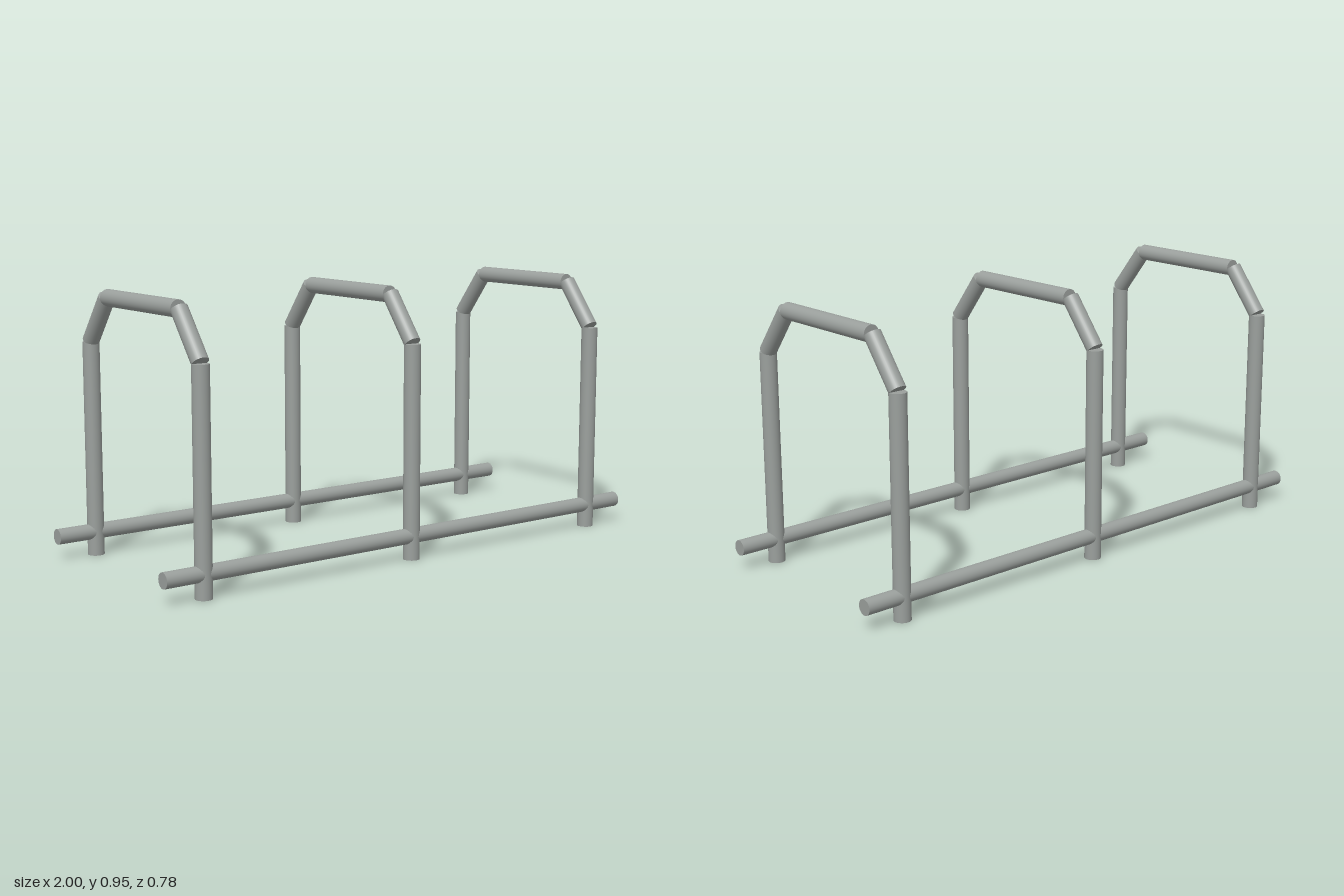
import * as THREE from 'three';

const material = new THREE.MeshStandardMaterial({ color: 0x9a9f9c });
const UP = new THREE.Vector3(0, 1, 0);

// Straight capped tube between two points
function tube(name, from, to, radius) {
  const a = new THREE.Vector3(...from);
  const b = new THREE.Vector3(...to);
  const dir = b.clone().sub(a);
  const mesh = new THREE.Mesh(new THREE.CylinderGeometry(radius, radius, dir.length(), 32), material);
  mesh.name = name;
  mesh.position.copy(a).add(b).multiplyScalar(0.5);
  mesh.quaternion.setFromUnitVectors(UP, dir.normalize());
  return mesh;
}

// Hoop: two legs, two sloping corners and a top bar
function createHoop(x) {
  const r = 0.0295;
  const hoop = new THREE.Group();
  hoop.name = 'hoop';
  for (const s of [1, -1]) {
    const side = s > 0 ? 'front' : 'back';
    hoop.add(tube(side + 'Leg', [0, 0, s * 0.361], [0, 0.757, s * 0.361], r));
    hoop.add(tube(side + 'Corner', [0, 0.761, s * 0.36], [0, 0.92, s * 0.237], r));
  }
  hoop.add(tube('topBar', [0, 0.919, -0.232], [0, 0.919, 0.232], r));
  hoop.position.x = x;
  return hoop;
}

export function createModel() {
  const model = new THREE.Group();
  model.name = 'bikeRack';
  for (const x of [-0.85, 0, 0.85]) model.add(createHoop(x));

  // Long rails joining the hoops near the ground
  for (const s of [1, -1]) {
    model.add(tube(s > 0 ? 'frontRail' : 'backRail', [-1, 0.083, s * 0.361], [1, 0.083, s * 0.361], 0.0275));
  }
  return model;
}
